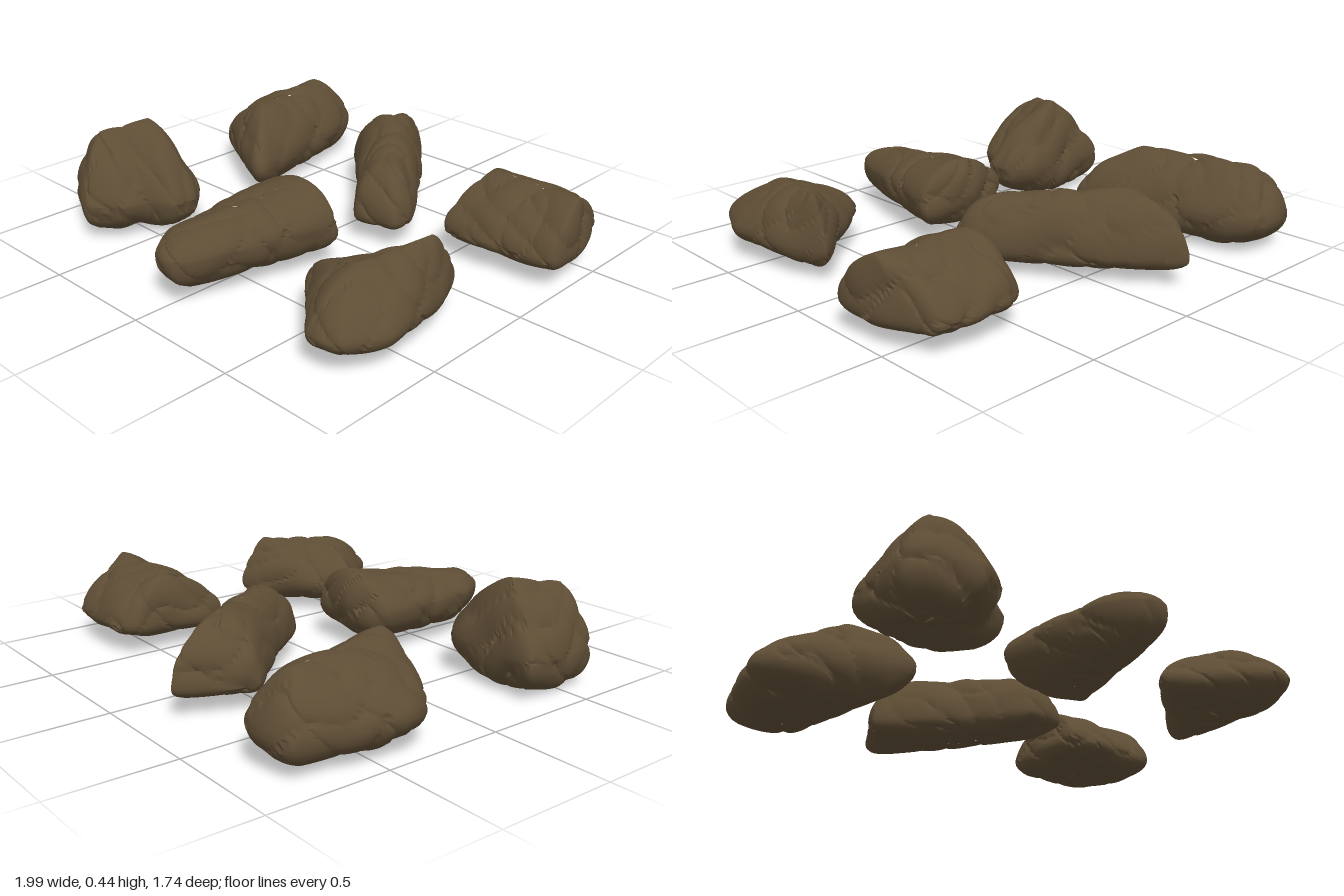
import * as THREE from 'three';
import { toCreasedNormals } from 'three/addons/utils/BufferGeometryUtils.js';

const SEGMENTS = 110;
const LOWER = 11;
const UPPER = 17;

// Weathered surface: broad lumps, blunt ledges and narrow cracks
function weather(p, s) {
  const lumps = Math.sin(p.x * 17 + s * 3) * Math.sin(p.y * 19 + s) * Math.sin(p.z * 16 + s * 5);
  const wave = Math.abs(Math.sin(p.x * 12 + p.y * 17 - p.z * 9 + s * 4 + Math.sin(p.z * 15 + s) * 1.2));
  const other = Math.abs(Math.sin(p.z * 13 + p.y * 12 + p.x * 8 + s * 7 + Math.sin(p.x * 18) * 1.1));
  const cracks = Math.max(0, 0.2 - wave) + Math.max(0, 0.2 - other);
  return lumps * 0.008 + (wave + other - 1.27) * 0.007 - cracks * 0.035;
}

// A rock swells from a keel on its base to the plan outline at its waist, then narrows to a ridge.
// taper: below 1 is boxy, 1 is round, 2 is a straight slope.
function rockGeometry({ outline, ridge, waist, base, taper }, seed) {
  const crest = new THREE.Line3(new THREE.Vector3(...ridge[0]), new THREE.Vector3(...ridge[1]));
  const centre = crest.getCenter(new THREE.Vector3()).setY(waist);
  const corners = outline.map(([x, z]) => new THREE.Vector3(x, waist, z));
  const loop = new THREE.CatmullRomCurve3(corners, true, 'catmullrom', 0.2);
  const edge = loop.getSpacedPoints(SEGMENTS).slice(0, SEGMENTS);
  const spine = edge.map((e) => crest.closestPointToPoint(e, true, new THREE.Vector3()));
  const keel = spine.map((c) => c.clone().lerp(centre, 0.35).setY(base));
  const positions = [], index = [];

  for (let j = -LOWER; j <= UPPER; j++) {
    const angle = (j < 0 ? -j / LOWER : j / UPPER) * Math.PI / 2;
    const power = j < 0 ? 0.9 : taper;
    const out = Math.max(Math.cos(angle), 0) ** power;
    const rise = Math.sin(angle) ** power;
    edge.forEach((e, i) => {
      const c = j < 0 ? keel[i] : spine[i];
      const p = e.clone().lerp(c, 1 - out);
      p.y = THREE.MathUtils.lerp(waist, c.y, rise);
      p.addScaledVector(p.clone().sub(centre).normalize(), weather(p, seed));
      positions.push(p.x, Math.max(p.y, 0), p.z);
    });
  }
  for (let j = 0; j < LOWER + UPPER; j++) {
    for (let i = 0; i < SEGMENTS; i++) {
      const a = j * SEGMENTS + i, b = j * SEGMENTS + (i + 1) % SEGMENTS;
      index.push(a, a + SEGMENTS, b + SEGMENTS, a, b + SEGMENTS, b);
    }
  }
  const geometry = new THREE.BufferGeometry();
  geometry.setAttribute('position', new THREE.Float32BufferAttribute(positions, 3));
  geometry.setIndex(index);
  return toCreasedNormals(geometry, 0.5);
}

export function createModel() {
  const group = new THREE.Group();
  group.name = 'rocks';
  const stone = new THREE.MeshStandardMaterial({ color: 0x5e4d35 });
  stone.name = 'brown stone';

  function addRock(name, shape) {
    const mesh = new THREE.Mesh(rockGeometry(shape, group.children.length + 1.3), stone);
    mesh.name = name;
    group.add(mesh);
  }

  // Front row: outline corners are [x, z], ridge ends are [x, y, z]
  addRock('peakedRock', {
    outline: [[-0.91, 0.27], [-0.5, 0.29], [-0.4, 0.37], [-0.4, 0.48], [-0.51, 0.55], [-0.54, 0.65], [-0.67, 0.75], [-0.92, 0.61]],
    ridge: [[-0.71, 0.44, 0.37], [-0.79, 0.41, 0.56]],
    waist: 0.16, base: 0, taper: 1.5,
  });
  addRock('longRock', {
    outline: [[0, 0.13], [0.25, 0.19], [0.13, 0.66], [0.06, 0.86], [-0.06, 0.85], [-0.16, 0.7], [-0.19, 0.2]],
    ridge: [[0.05, 0.34, 0.21], [-0.02, 0.27, 0.72]],
    waist: 0.19, base: 0.04, taper: 1.1,
  });
  addRock('pointedRock', {
    outline: [[0.78, 0.12], [0.87, 0.37], [0.9, 0.6], [0.82, 0.78], [0.68, 0.79], [0.38, 0.48], [0.6, 0.28]],
    ridge: [[0.76, 0.34, 0.24], [0.68, 0.31, 0.55]],
    waist: 0.14, base: 0.04, taper: 1.4,
  });

  // Back row
  addRock('largeRock', {
    outline: [[-0.91, -0.82], [-0.8, -0.87], [-0.66, -0.84], [-0.57, -0.7], [-0.44, -0.08], [-0.5, -0.03], [-0.92, -0.26], [-0.99, -0.4]],
    ridge: [[-0.77, 0.35, -0.7], [-0.65, 0.35, -0.25]],
    waist: 0.15, base: 0.01, taper: 1.3,
  });
  addRock('diagonalRock', {
    outline: [[-0.2, -0.85], [0.07, -0.54], [0.32, -0.19], [0.31, -0.08], [0.12, -0.05], [-0.07, -0.28], [-0.34, -0.56]],
    ridge: [[-0.13, 0.35, -0.57], [0.12, 0.32, -0.24]],
    waist: 0.12, base: 0.04, taper: 1,
  });
  addRock('wedgeRock', {
    outline: [[0.48, -0.6], [0.58, -0.69], [0.89, -0.67], [0.99, -0.38], [0.97, -0.22], [0.48, -0.19]],
    ridge: [[0.54, 0.33, -0.43], [0.95, 0.33, -0.42]],
    waist: 0.13, base: 0.05, taper: 1.35,
  });
  return group;
}
